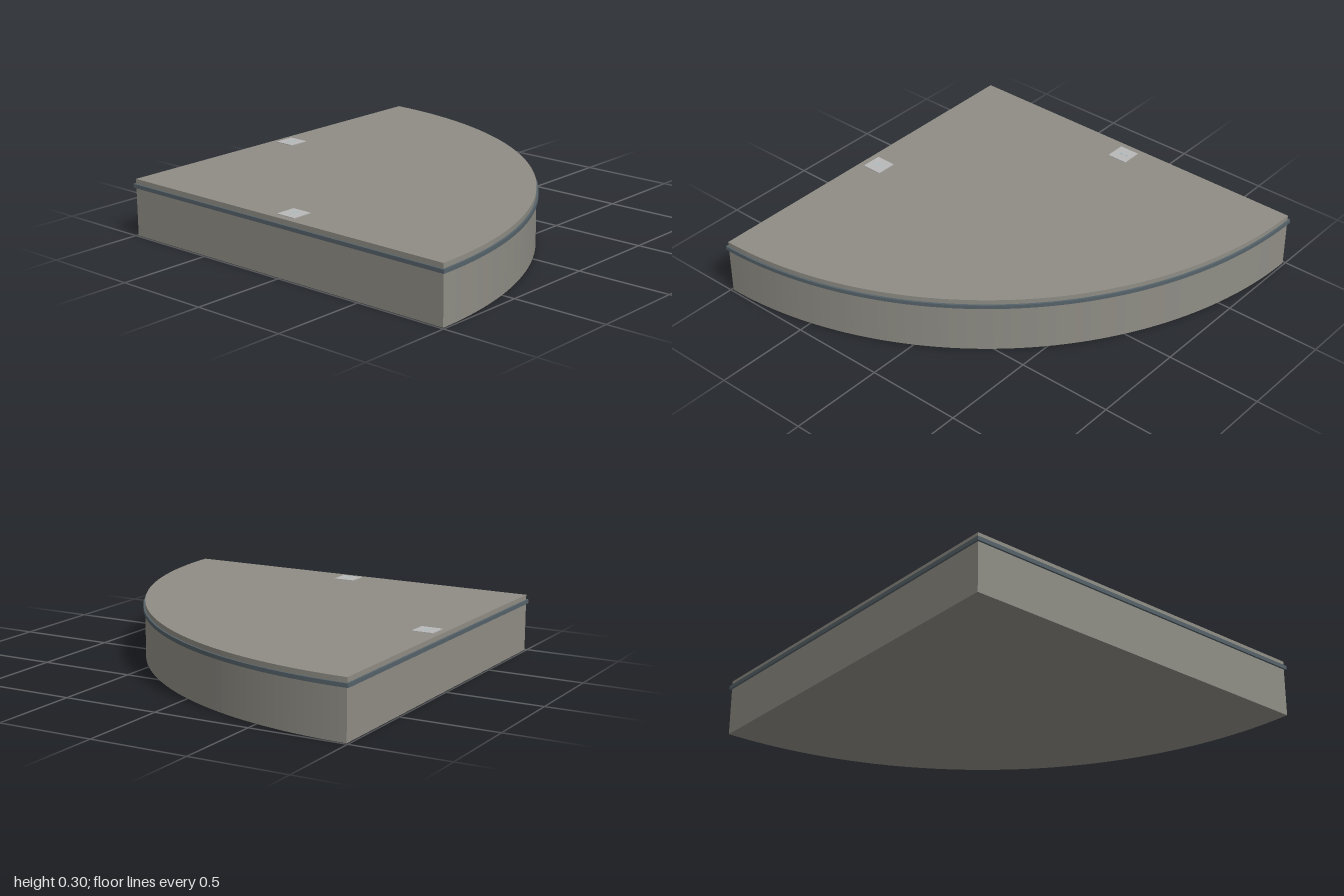
import * as THREE from 'three';

const CORNER = -0.99, RADIUS = 1.98;

// Quarter disc lying flat, grown outward by d, from height y0 to y1
function quarterSlab(name, d, y0, y1, color) {
  const r = RADIUS + d, s = new THREE.Shape();
  s.moveTo(CORNER - d, -CORNER + d);
  s.lineTo(CORNER + r, -CORNER + d);
  s.lineTo(CORNER + r, -CORNER);
  s.absarc(CORNER, -CORNER, r, 0, -Math.PI / 2, true);
  s.lineTo(CORNER - d, -CORNER - r);
  s.closePath();
  const geo = new THREE.ExtrudeGeometry(s, { depth: y1 - y0, bevelEnabled: false, curveSegments: 36 });
  geo.rotateX(-Math.PI / 2);
  geo.translate(0, y0, 0);
  const mesh = new THREE.Mesh(geo, new THREE.MeshStandardMaterial({ color }));
  mesh.name = name;
  return mesh;
}

function box(name, w, h, d, x, y, z, color) {
  const mesh = new THREE.Mesh(new THREE.BoxGeometry(w, h, d), new THREE.MeshStandardMaterial({ color }));
  mesh.position.set(x, y, z);
  mesh.name = name;
  return mesh;
}

export function createModel() {
  const group = new THREE.Group();
  group.name = 'quarterRoundPlatform';

  // Solid base, thin projecting trim, and top deck
  group.add(quarterSlab('base', 0, 0, 0.25, 0x8f8d85));
  group.add(quarterSlab('edgeTrim', 0.01, 0.25, 0.27, 0x56636a));
  group.add(quarterSlab('topDeck', 0, 0.27, 0.295, 0x8f8d85));

  // Square plates near the middle of each straight side, each with a small line
  for (const [x, z] of [[0.015, -0.9], [-0.9, 0.012]]) {
    const plate = new THREE.Group();
    plate.name = 'connectorPlate';
    plate.add(box('plate', 0.11, 0.006, 0.11, x, 0.296, z, 0xb8b8b8));
    plate.add(box('plateLine', 0.06, 0.002, 0.004, x, 0.299, z, 0x9cc4c8));
    group.add(plate);
  }
  return group;
}
